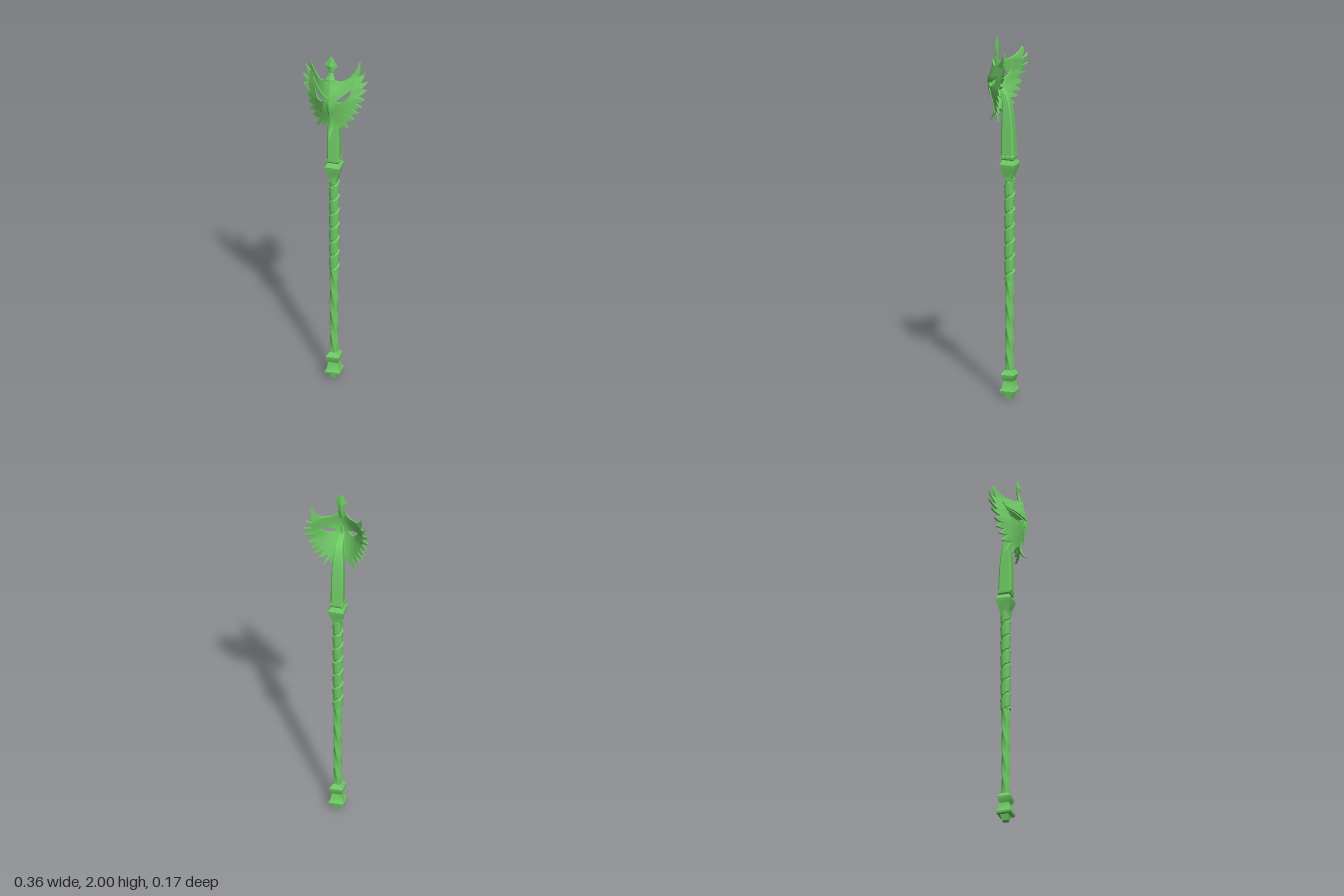
import * as THREE from 'three';
import { mergeVertices, toCreasedNormals } from 'three/addons/utils/BufferGeometryUtils.js';

const CX = -0.004, CZ = -0.04; // shaft axis
const material = new THREE.MeshStandardMaterial({ color: 0x70cc66, side: THREE.DoubleSide });

function part(name, geometry, crease = 0.5) {
  const mesh = new THREE.Mesh(toCreasedNormals(geometry, crease), material);
  mesh.name = name;
  return mesh;
}

// Loft through horizontal sections [y, z centre, half x, half z, turn] of a given outline
function loft(sections, outline) {
  const n = outline.length, pos = [], idx = [];
  for (const [y, z, hx, hz, turn = 0] of sections) {
    const c = Math.cos(turn), s = Math.sin(turn);
    for (const [u, v] of outline) {
      const a = u * hx, b = v * hz;
      pos.push(a * c + b * s, y, z - a * s + b * c);
    }
  }
  for (let r = 0; r < sections.length - 1; r++) {
    for (let i = 0; i < n; i++) {
      const a = r * n + i, b = r * n + (i + 1) % n;
      idx.push(a, b, b + n, a, b + n, a + n);
    }
  }
  const top = (sections.length - 1) * n;
  for (let i = 1; i < n - 1; i++) idx.push(0, i + 1, i, top, top + i, top + i + 1);
  const g = new THREE.BufferGeometry();
  g.setAttribute('position', new THREE.Float32BufferAttribute(pos, 3));
  g.setIndex(idx);
  return g;
}
const square = [[1, 1], [1, -1], [-1, -1], [-1, 1]];
const beveled = [[0.75, 1], [1, 0.75], [1, -0.75], [0.75, -1], [-0.75, -1], [-1, -0.75], [-1, 0.75], [-0.75, 1]];
const diamond = [[0, 1], [1, 0], [0, -1], [-1, 0]];

// Piecewise linear lookup
function lookup(table, t) {
  if (t <= table[0][0]) return table[0][1];
  for (let i = 1; i < table.length; i++) {
    const [a, va] = table[i - 1], [b, vb] = table[i];
    if (t <= b) return va + (vb - va) * (t - a) / (b - a);
  }
  return table[table.length - 1][1];
}

// Depth of the mask surface: a ridge line falling back towards the sides
const ridge = [[1.54, 0.032], [1.6, 0.04], [1.66, 0.056], [1.73, 0.076], [1.78, 0.074], [1.85, 0.056], [1.95, 0.055]];
const fall = [[0, 0], [0.025, 0.008], [0.05, 0.024], [0.075, 0.046], [0.1, 0.075], [0.14, 0.115], [0.18, 0.135]];
const spread = [[1.6, 0.65], [1.76, 1]];
const maskZ = (x, y) => lookup(ridge, y) - lookup(fall, Math.abs(x)) * lookup(spread, y);

// Split every triangle in four, several times
function subdivide(p, levels) {
  for (let l = 0; l < levels; l++) {
    const out = [];
    for (let i = 0; i < p.length; i += 9) {
      const [a, b, c] = [0, 3, 6].map(k => p.slice(i + k, i + k + 3));
      const mid = (u, v) => u.map((e, k) => (e + v[k]) / 2);
      const ab = mid(a, b), bc = mid(b, c), ca = mid(c, a);
      out.push(...a, ...ab, ...ca, ...ab, ...b, ...bc, ...ca, ...bc, ...c, ...ab, ...bc, ...ca);
    }
    p = out;
  }
  return p;
}

// Flat shape given thickness and laid on the mask surface
function onMask(shape, depth, offset) {
  const flat = new THREE.ExtrudeGeometry(shape, { depth, bevelEnabled: false, curveSegments: 4 });
  const src = flat.index ? flat.toNonIndexed() : flat;
  const p = subdivide(Array.from(src.attributes.position.array), 3);
  for (let i = 0; i < p.length; i += 3) p[i + 2] += maskZ(p[i], p[i + 1]) + offset;
  const g = new THREE.BufferGeometry();
  g.setAttribute('position', new THREE.Float32BufferAttribute(p, 3));
  return mergeVertices(g, 1e-5);
}

const polygon = pts => new THREE.Shape(pts.map(([x, y]) => new THREE.Vector2(x, y)));

// Half of the mask outline with feathered edge and an eye hole
function maskHalf(hornY) {
  const s = new THREE.Shape();
  s.moveTo(0, 1.865);
  s.lineTo(0.022, 1.865);
  s.quadraticCurveTo(0.04, 1.843, 0.065, 1.846);
  s.quadraticCurveTo(0.12, 1.86, 0.137, hornY);
  s.quadraticCurveTo(0.145, 1.885, 0.13, 1.845);
  // valley, then feather tip
  const feathers = [
    [0.13, 1.845, 0.167, 1.87], [0.138, 1.805, 0.179, 1.815], [0.14, 1.773, 0.174, 1.765],
    [0.13, 1.738, 0.164, 1.712], [0.118, 1.7, 0.15, 1.668], [0.1, 1.67, 0.135, 1.635],
    [0.085, 1.638, 0.115, 1.6], [0.066, 1.605, 0.088, 1.545], [0.045, 1.59, 0.055, 1.55],
  ];
  let [px, py] = [0.13, 1.845];
  for (const [vx, vy, tx, ty] of feathers) {
    if (vy !== 1.845) s.quadraticCurveTo((px + vx) / 2 + 0.003, (py + vy) / 2 - 0.007, vx, vy);
    s.quadraticCurveTo((vx + tx) / 2 + 0.006, (vy + ty) / 2 - 0.006, tx, ty);
    [px, py] = [tx, ty];
  }
  s.lineTo(0.025, 1.59);
  s.lineTo(0, 1.59);
  s.closePath();
  const eye = new THREE.Path();
  eye.moveTo(0.03, 1.742);
  eye.lineTo(0.102, 1.79);
  eye.quadraticCurveTo(0.095, 1.75, 0.07, 1.732);
  eye.quadraticCurveTo(0.05, 1.722, 0.03, 1.742);
  s.holes.push(eye);
  return s;
}

export function createModel() {
  const model = new THREE.Group();
  model.name = 'staff';

  const shaft = new THREE.Group();
  shaft.name = 'shaft';
  shaft.position.set(CX, 0, CZ);
  model.add(shaft);

  // Pommel
  shaft.add(part('pommel', loft([
    [0, 0, 0.016, 0.016], [0.035, 0, 0.023, 0.023], [0.037, 0, 0.04, 0.04], [0.048, 0, 0.042, 0.042],
    [0.065, 0, 0.032, 0.032], [0.1, 0, 0.026, 0.026], [0.122, 0, 0.035, 0.035], [0.136, 0, 0.037, 0.037],
    [0.158, 0, 0.022, 0.022]], square)));

  // Twisted square lower shaft
  const twist = [];
  for (let i = 0; i <= 80; i++) {
    const t = i / 80;
    twist.push([0.15 + 0.52 * t, 0, 0.019, 0.019, -t * Math.PI * 1.9]);
  }
  shaft.add(part('twistedShaft', loft(twist, beveled), 0.6));

  // Grip with a spiral wrapping
  const grip = new THREE.CylinderGeometry(1, 1, 0.57, 28, 150);
  const p = grip.attributes.position;
  for (let i = 0; i < p.count; i++) {
    const x = p.getX(i), z = p.getZ(i), y = p.getY(i);
    const phase = y / 0.085 + Math.atan2(z, x) / (2 * Math.PI);
    const f = phase - Math.floor(phase);
    const r = f < 0.16 ? 0.0215 : 0.025 + 0.005 * (f - 0.16);
    p.setXYZ(i, x * r, y, z * r);
  }
  grip.translate(0, 0.94, 0);
  grip.deleteAttribute('uv');
  shaft.add(part('wrappedGrip', grip));

  // Collar between grip and neck
  shaft.add(part('collar', loft([
    [1.2, 0, 0.022, 0.022], [1.235, 0, 0.026, 0.026], [1.28, 0, 0.041, 0.041], [1.297, 0, 0.043, 0.043],
    [1.32, 0, 0.029, 0.029], [1.328, 0, 0.035, 0.035], [1.342, 0, 0.036, 0.036], [1.348, 0, 0.03, 0.03]], square)));

  // Neck bending forward into the mask
  shaft.add(part('neck', loft([
    [1.34, 0.002, 0.033, 0.037], [1.48, 0.005, 0.033, 0.033], [1.58, 0.008, 0.031, 0.025],
    [1.64, 0.014, 0.027, 0.02], [1.68, 0.028, 0.022, 0.017], [1.705, 0.05, 0.018, 0.015],
    [1.72, 0.085, 0.014, 0.012]], beveled)));

  const head = new THREE.Group();
  head.name = 'mask';
  head.position.x = CX + 0.001;
  model.add(head);

  // Mask halves and brows, one horn shorter than the other
  const brow = polygon([[0, 1.735], [0.03, 1.752], [0.104, 1.797], [0.112, 1.826], [0.06, 1.795], [0, 1.762]]);
  for (const side of [1, -1]) {
    const half = new THREE.Group();
    half.name = side > 0 ? 'leftHalf' : 'rightHalf';
    half.scale.x = side;
    half.add(part('faceShell', onMask(maskHalf(side > 0 ? 1.945 : 1.912), 0.01, -0.01), 0.7));
    half.add(part('brow', onMask(brow, 0.012, -0.004), 0.6));
    head.add(half);
  }

  // Long chin blade curling forward, and hooked beak over it
  head.add(part('chinBlade', loft([
    [1.525, 0.077, 0.002, 0.002], [1.545, 0.058, 0.008, 0.006], [1.57, 0.044, 0.014, 0.008],
    [1.61, 0.042, 0.021, 0.009], [1.66, 0.053, 0.029, 0.01], [1.7, 0.063, 0.035, 0.01],
    [1.73, 0.066, 0.03, 0.008]], diamond), 0.4));
  head.add(part('beak', loft([
    [1.645, 0.06, 0.002, 0.004], [1.675, 0.066, 0.01, 0.01], [1.705, 0.07, 0.018, 0.013],
    [1.73, 0.07, 0.022, 0.014], [1.765, 0.068, 0.012, 0.012]], diamond), 0.4));

  // Crest spear with a raised gem
  head.add(part('crest', loft([
    [1.82, 0.055, 0.03, 0.008], [1.862, 0.044, 0.026, 0.012], [1.88, 0.035, 0.016, 0.009],
    [1.9, 0.03, 0.013, 0.008], [1.914, 0.03, 0.02, 0.009], [1.94, 0.03, 0.037, 0.01],
    [2, 0.028, 0.001, 0.001]], diamond), 0.3));
  const gem = part('crestGem', new THREE.OctahedronGeometry(1), 0.1);
  gem.scale.set(0.016, 0.024, 0.008);
  gem.position.set(0, 1.938, 0.036);
  head.add(gem);

  return model;
}
